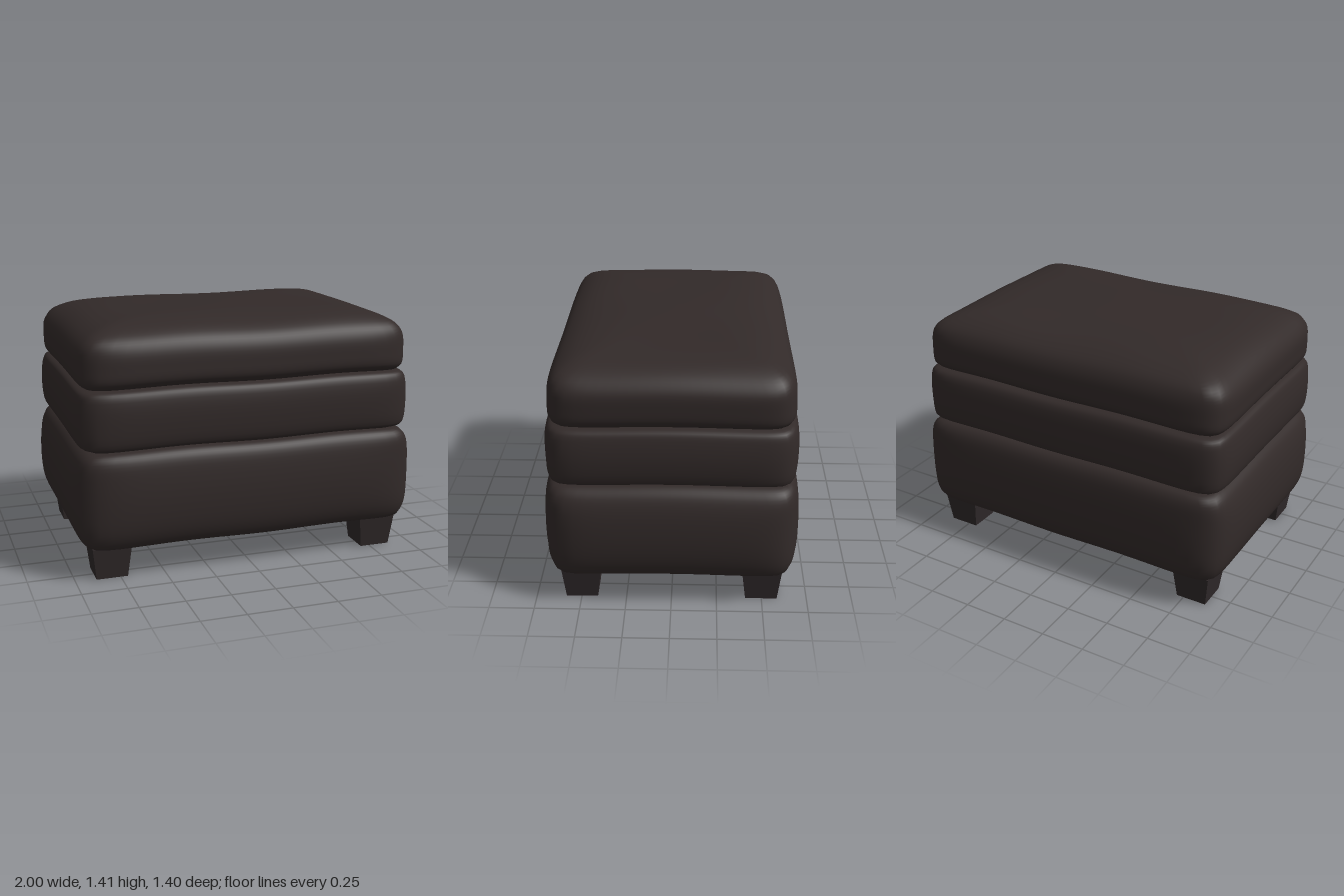
import * as THREE from 'three';

const mat = (name, color) => {
  const m = new THREE.MeshStandardMaterial({ color });
  m.name = name;
  return m;
};

// Points evenly spaced along the four sides of a unit square
function squareLoop(perSide = 24) {
  const points = [];
  const corners = [[1, -1], [1, 1], [-1, 1], [-1, -1]];
  corners.forEach(([x0, z0], i) => {
    const [x1, z1] = corners[(i + 1) % 4];
    for (let j = 0; j < perSide; j++) {
      const t = j / perSide;
      points.push([x0 + (x1 - x0) * t, z0 + (z1 - z0) * t]);
    }
  });
  return points;
}

// Closed cushion lofted through a profile of [y, half width, half depth];
// the bulging middle has bowed sides, the narrower seams have squarer corners
function cushion(name, profile, material, squareness, offsetX = 0) {
  const loop = squareLoop();
  const n = loop.length;
  const widest = Math.max(...profile.map((p) => p[1]));
  const rings = new THREE.CatmullRomCurve3(
    profile.map(([y, hx, hz]) => new THREE.Vector3(hx, y, hz)), false, 'centripetal'
  ).getPoints((profile.length - 1) * 4);
  const position = [], index = [];
  rings.forEach(({ x: hx, y, z: hz }) => {
    const power = squareness + Math.min(10, 120 * (1 - hx / widest));
    for (const [u, v] of loop) {
      const k = Math.pow(Math.abs(u) ** power + Math.abs(v) ** power, -1 / power);
      const x = u * k * hx, z = v * k * hz;
      // Slight slack in the upholstery
      const wave = 0.004 * Math.sin(x * 7 + 1) * Math.cos(z * 6);
      position.push(x + offsetX, y + wave, z);
    }
  });
  for (let r = 0; r < rings.length - 1; r++) {
    for (let i = 0; i < n; i++) {
      const a = r * n + i, b = r * n + (i + 1) % n;
      index.push(a, a + n, b, b, a + n, b + n);
    }
  }
  const g = new THREE.BufferGeometry();
  g.setAttribute('position', new THREE.Float32BufferAttribute(position, 3));
  g.setIndex(index);
  g.computeVertexNormals();
  const mesh = new THREE.Mesh(g, material);
  mesh.name = name;
  return mesh;
}

export function createModel() {
  const leather = mat('dark brown leather', 0x322a29);
  const wood = mat('dark leg wood', 0x2f2829);
  const lining = mat('brown lining', 0x604c38);
  const model = new THREE.Group();
  model.name = 'footstool';

  // Tall upholstered base, slightly recessed underneath
  model.add(cushion('base', [
    [0.19, 0, 0], [0.19, 0.6, 0.4], [0.186, 0.85, 0.57], [0.175, 0.895, 0.61],
    [0.20, 0.945, 0.65], [0.28, 0.982, 0.685], [0.42, 1.0, 0.70], [0.58, 0.99, 0.692],
    [0.67, 0.96, 0.675], [0.71, 0.92, 0.645], [0.722, 0.86, 0.59], [0.722, 0, 0],
  ], leather, 9));

  // Middle cushion
  model.add(cushion('middleCushion', [
    [0.715, 0, 0], [0.715, 0.86, 0.58], [0.73, 0.91, 0.63], [0.755, 0.95, 0.665],
    [0.88, 0.97, 0.68], [1.0, 0.957, 0.672], [1.04, 0.94, 0.655],
    [1.057, 0.90, 0.62], [1.062, 0.84, 0.56], [1.062, 0, 0],
  ], leather, 11, -0.005));

  // Crowned seat cushion, undercut along its lower edge
  model.add(cushion('seatCushion', [
    [1.052, 0, 0], [1.052, 0.85, 0.57], [1.066, 0.915, 0.625], [1.10, 0.943, 0.657],
    [1.17, 0.95, 0.66], [1.25, 0.945, 0.652], [1.31, 0.905, 0.622], [1.357, 0.83, 0.555],
    [1.385, 0.73, 0.47], [1.401, 0.58, 0.35], [1.407, 0.3, 0.18], [1.408, 0, 0],
  ], leather, 11, -0.005));

  // Lining panel under the base
  const panel = new THREE.Mesh(new THREE.BoxGeometry(1.74, 0.006, 1.17), lining);
  panel.name = 'bottomLining';
  panel.position.y = 0.178;
  model.add(panel);

  // Four tapered square legs
  const legShape = new THREE.CylinderGeometry(
    0.1085 * Math.SQRT2, 0.0875 * Math.SQRT2, 0.18, 4
  ).rotateY(Math.PI / 4).toNonIndexed();
  legShape.computeVertexNormals();
  for (const sx of [-1, 1]) {
    for (const sz of [-1, 1]) {
      const leg = new THREE.Mesh(legShape, wood);
      leg.name = (sz > 0 ? 'front' : 'back') + (sx > 0 ? 'Left' : 'Right') + 'Leg';
      leg.position.set(sx * 0.791 - 0.006, 0.09, sz * 0.4975);
      model.add(leg);
    }
  }
  return model;
}
